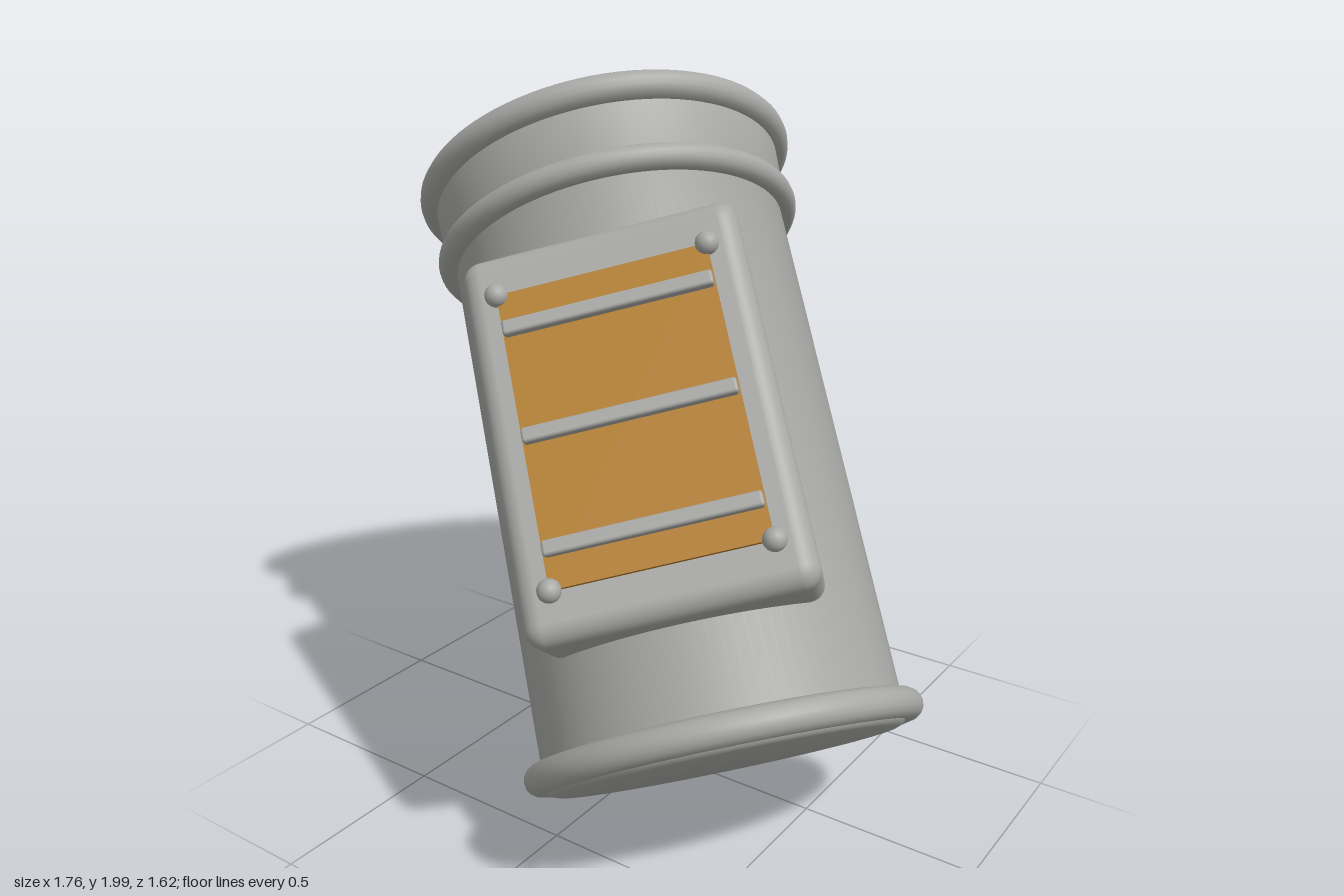
import * as THREE from 'three';
import { toCreasedNormals } from 'three/addons/utils/BufferGeometryUtils.js';
import { RoundedBoxGeometry } from 'three/addons/geometries/RoundedBoxGeometry.js';

export function createModel() {
  const steel = new THREE.MeshStandardMaterial({ color: 0xa8a8a6 });
  steel.name = 'grey steel';
  const brass = new THREE.MeshStandardMaterial({ color: 0xb57e2c });
  brass.name = 'amber plate';

  // Built upright (y along the canister, z out through the panel), tilted at the end
  const canister = new THREE.Group();
  canister.name = 'canister';
  const add = (name, geometry, material, x = 0, y = 0, z = 0) => {
    const mesh = new THREE.Mesh(geometry, material);
    mesh.name = name;
    mesh.position.set(x, y, z);
    canister.add(mesh);
    return mesh;
  };

  // Body with a rounded foot, a wider collar and a flat lid
  const profile = [
    [0, -0.05], [0.447, -0.05], [0.462, -0.045], [0.471, -0.035], [0.475, -0.02],
    [0.475, 1.43], [0.495, 1.46], [0.505, 1.65], [0.505, 1.679], [0, 1.679],
  ].map(([r, y]) => new THREE.Vector2(r, y));
  add('body', toCreasedNormals(new THREE.LatheGeometry(profile, 96), 0.6), steel);

  // Rolled rims
  for (const [name, radius, tube, y] of [
    ['bottomRim', 0.485, 0.04, 0],
    ['collarRim', 0.488, 0.035, 1.45],
    ['topRim', 0.505, 0.04, 1.651],
  ]) {
    add(name, new THREE.TorusGeometry(radius, tube, 16, 96), steel, 0, y).rotation.x = Math.PI / 2;
  }

  // Lid bolts
  const bolt = new THREE.CylinderGeometry(0.034, 0.034, 0.05, 24);
  for (let i = 0; i < 6; i++) {
    const angle = Math.PI / 6 + (i * Math.PI) / 3;
    add('lidBolt', bolt, steel, 0.348 * Math.sin(angle), 1.68, 0.348 * Math.cos(angle));
  }

  // Side panel with its inset plate
  const panelY = 0.745;
  add('panelHousing', new RoundedBoxGeometry(0.7, 0.98, 0.435, 5, 0.05), steel, 0, panelY, 0.3675);
  add('panelPlate', new THREE.BoxGeometry(0.526, 0.74, 0.03), brass, 0, panelY, 0.585);

  // Cross bars
  for (const i of [-1, 0, 1]) {
    add('panelBar', new RoundedBoxGeometry(0.52, 0.038, 0.04, 2, 0.008), steel, 0, panelY + i * 0.275, 0.605);
  }

  // Corner studs
  const stud = new THREE.SphereGeometry(0.029, 20, 14);
  for (const sx of [-1, 1]) {
    for (const sy of [-1, 1]) {
      add('panelStud', stud, steel, sx * 0.263, panelY + sy * 0.37, 0.6);
    }
  }

  // Lean the canister
  const up = new THREE.Vector3(-0.495, 0.788, -0.367).normalize();
  const out = new THREE.Vector3(0.341, 0.564, 0.753);
  const side = new THREE.Vector3().crossVectors(up, out).normalize();
  out.crossVectors(side, up);
  canister.quaternion.setFromRotationMatrix(new THREE.Matrix4().makeBasis(side, up, out));
  canister.position.set(0.412, 0.341, 0.306);

  const model = new THREE.Group();
  model.name = 'leaningCanister';
  model.add(canister);
  return model;
}
